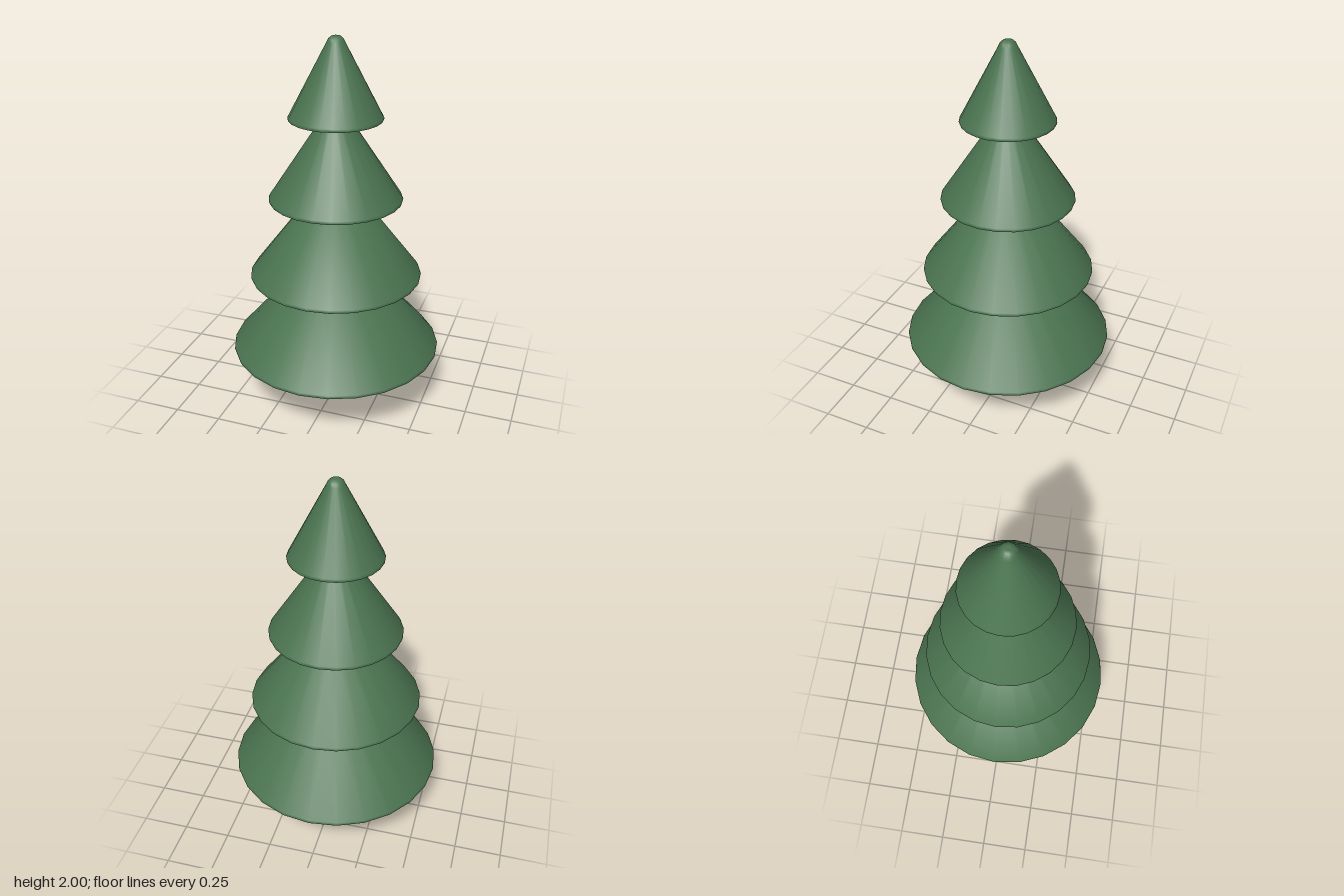
import * as THREE from 'three';
import { toCreasedNormals } from 'three/addons/utils/BufferGeometryUtils.js';

const needles = new THREE.MeshStandardMaterial({ color: 0x4a7350 });
needles.name = 'needle green';
const bark = new THREE.MeshStandardMaterial({ color: 0x705a46 });
bark.name = 'bark brown';

// Skirt of branches: flat underside, small rounded lip, straight slope, then the given top
function tier(name, radius, base, top) {
  const profile = [
    [0, base], [radius - 0.012, base], [radius - 0.002, base + 0.003],
    [radius, base + 0.009], [radius - 0.005, base + 0.018], ...top,
  ].map(([r, y]) => new THREE.Vector2(r, y));
  const geometry = toCreasedNormals(new THREE.LatheGeometry(profile, 24), 0.95);
  const mesh = new THREE.Mesh(geometry, needles);
  mesh.name = name;
  return mesh;
}

export function createModel() {
  const tree = new THREE.Group();
  tree.name = 'pineTree';

  // Trunk, reaching a little into the lowest tier
  const trunk = new THREE.Mesh(new THREE.CylinderGeometry(0.08, 0.08, 0.33, 16), bark);
  trunk.name = 'trunk';
  trunk.position.y = 0.165;
  tree.add(trunk);

  // Three lower tiers, each narrowing into the one above
  const lower = [
    ['bottomTier', 0.563, 0.308, 0.2],
    ['lowerMiddleTier', 0.456, 0.735, 0.137],
    ['upperMiddleTier', 0.348, 1.161, 0.072],
  ];
  for (const [name, radius, base, neck] of lower) {
    const top = base + 0.43;
    tree.add(tier(name, radius, base, [[neck, top], [0, top]]));
  }

  // Crown with a rounded tip
  tree.add(tier('crown', 0.241, 1.587,
    [[0.046, 1.967], [0.038, 1.984], [0.024, 1.996], [0.01, 2], [0, 2]]));

  return tree;
}
